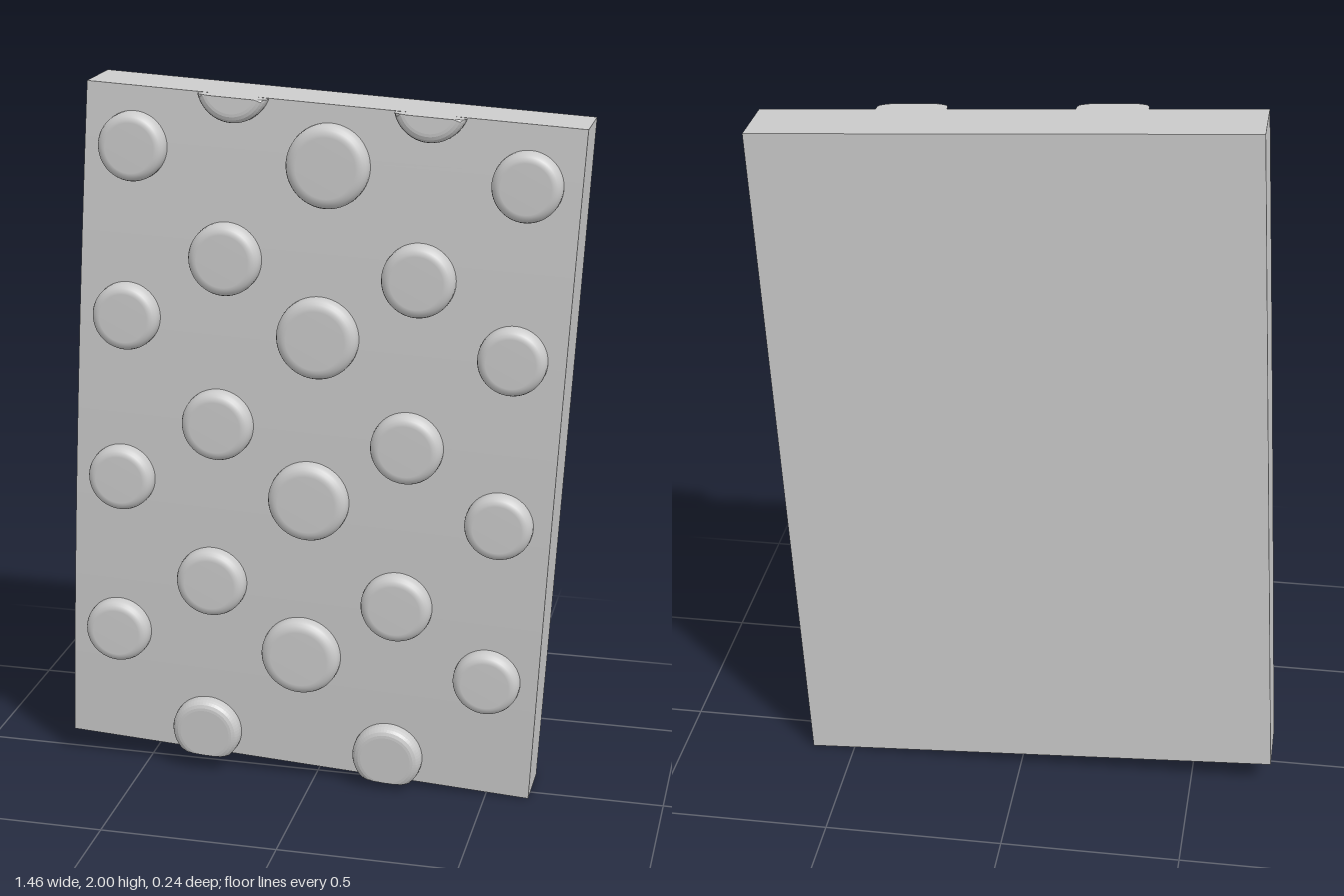
import * as THREE from 'three';

const WIDTH = 1.352, HEIGHT = 1.928, HALF = HEIGHT / 2;
const BACK = -0.12, TILT = -0.055, PITCH = 0.471;

// Gently bowed front surface: depth as a function of height on the plate
const frontZ = (v) => {
  const t = v / HALF;
  return 0.077 + 0.009 * t - 0.026 * t * t;
};

function makePlate(material) {
  const geo = new THREE.BoxGeometry(WIDTH, HEIGHT, 1, 1, 32, 1);
  const p = geo.attributes.position;
  for (let i = 0; i < p.count; i++) {
    p.setZ(i, p.getZ(i) > 0 ? frontZ(p.getY(i)) : BACK);
  }
  geo.computeVertexNormals();
  const plate = new THREE.Mesh(geo, material);
  plate.name = 'plate';
  return plate;
}

// Flat-topped round stud that follows the bow and is cut off at the plate's ends
function makeStud(u, v, r, material) {
  const profile = [
    [1.0, -0.015], [1.0, 0.012], [0.99, 0.022], [0.955, 0.031],
    [0.89, 0.038], [0.8, 0.042], [0.72, 0.043], [0, 0.043],
  ].map(([k, h]) => new THREE.Vector2(k * r, h));
  const geo = new THREE.LatheGeometry(profile, 64);
  geo.rotateX(Math.PI / 2);
  geo.translate(u, v, 0);

  const p = geo.attributes.position;
  const anchorV = THREE.MathUtils.clamp(v, -HALF + 0.015, HALF - 0.015);
  let cut = false;
  for (let i = 0; i < p.count; i++) {
    let x = p.getX(i), y = p.getY(i);
    if (Math.abs(y) > HALF) {
      // pull the overhang back to the end plane, towards a point inside
      const edge = Math.sign(y) * HALF;
      const k = (edge - anchorV) / (y - anchorV);
      x = u + (x - u) * k;
      y = edge;
      cut = true;
    }
    p.setXYZ(i, x, y, p.getZ(i) + frontZ(y));
  }
  let finished = geo;
  if (cut) {
    finished = geo.toNonIndexed();
    finished.computeVertexNormals();
  }
  const stud = new THREE.Mesh(finished, material);
  stud.name = 'stud';
  return stud;
}

export function createModel() {
  const material = new THREE.MeshStandardMaterial({ color: 0xcccccc });
  const model = new THREE.Group();
  model.name = 'studdedPanel';
  model.add(makePlate(material));

  // Staggered columns: position across, lowest stud, number of studs, radius
  const studs = new THREE.Group();
  studs.name = 'studs';
  const columns = [
    [-0.539, -0.611, 4, 0.094],
    [-0.268, -0.892, 5, 0.1],
    [0, -0.611, 4, 0.113],
    [0.265, -0.892, 5, 0.1],
    [0.533, -0.611, 4, 0.094],
  ];
  for (const [u, v0, count, r] of columns) {
    for (let k = 0; k < count; k++) studs.add(makeStud(u, v0 + k * PITCH, r, material));
  }
  model.add(studs);

  // The whole panel leans a little to one side
  model.rotation.z = TILT;
  model.position.y = 1;
  const root = new THREE.Group();
  root.name = 'panel';
  root.add(model);
  return root;
}
